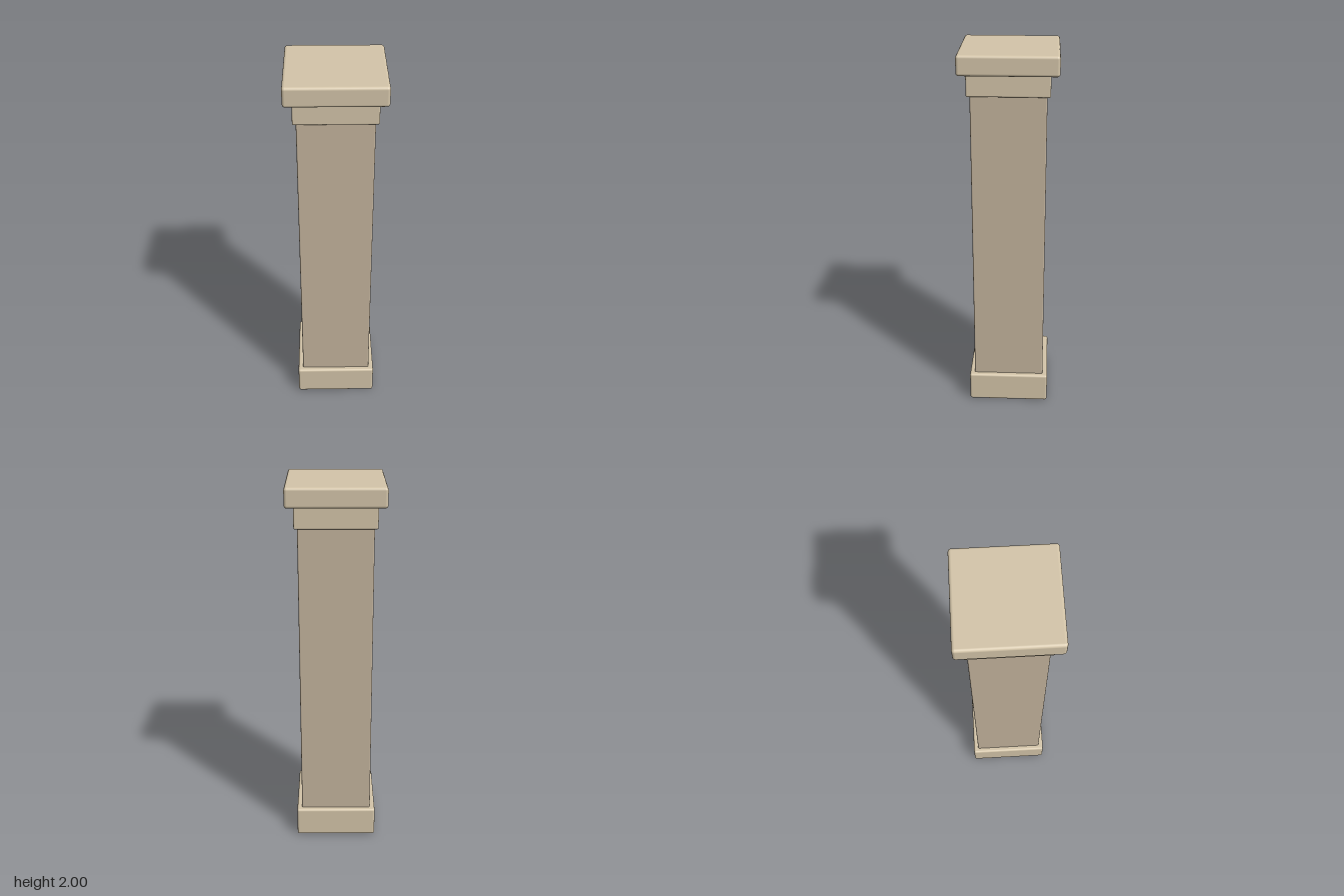
import * as THREE from 'three';
import { RoundedBoxGeometry } from 'three/addons/geometries/RoundedBoxGeometry.js';

export function createModel() {
  const model = new THREE.Group();
  model.name = 'squareColumn';

  const trim = new THREE.MeshStandardMaterial({ color: 0xd4c5a9 });
  const stone = new THREE.MeshStandardMaterial({ color: 0xc4b49d });

  // A square block with softened edges, spanning the heights y0 to y1
  function addBlock(name, width, y0, y1, radius, material) {
    const geometry = new RoundedBoxGeometry(width, y1 - y0, width, 3, radius);
    const block = new THREE.Mesh(geometry, material);
    block.name = name;
    block.position.y = (y0 + y1) / 2;
    model.add(block);
  }

  addBlock('basePlinth', 0.44, 0, 0.165, 0.012, trim);
  // The shaft runs a little into the blocks above and below
  addBlock('shaft', 0.386, 0.14, 1.81, 0.008, stone);
  addBlock('neckBlock', 0.42, 1.785, 1.91, 0.008, trim);
  addBlock('capSlab', 0.506, 1.897, 2, 0.015, trim);

  return model;
}
